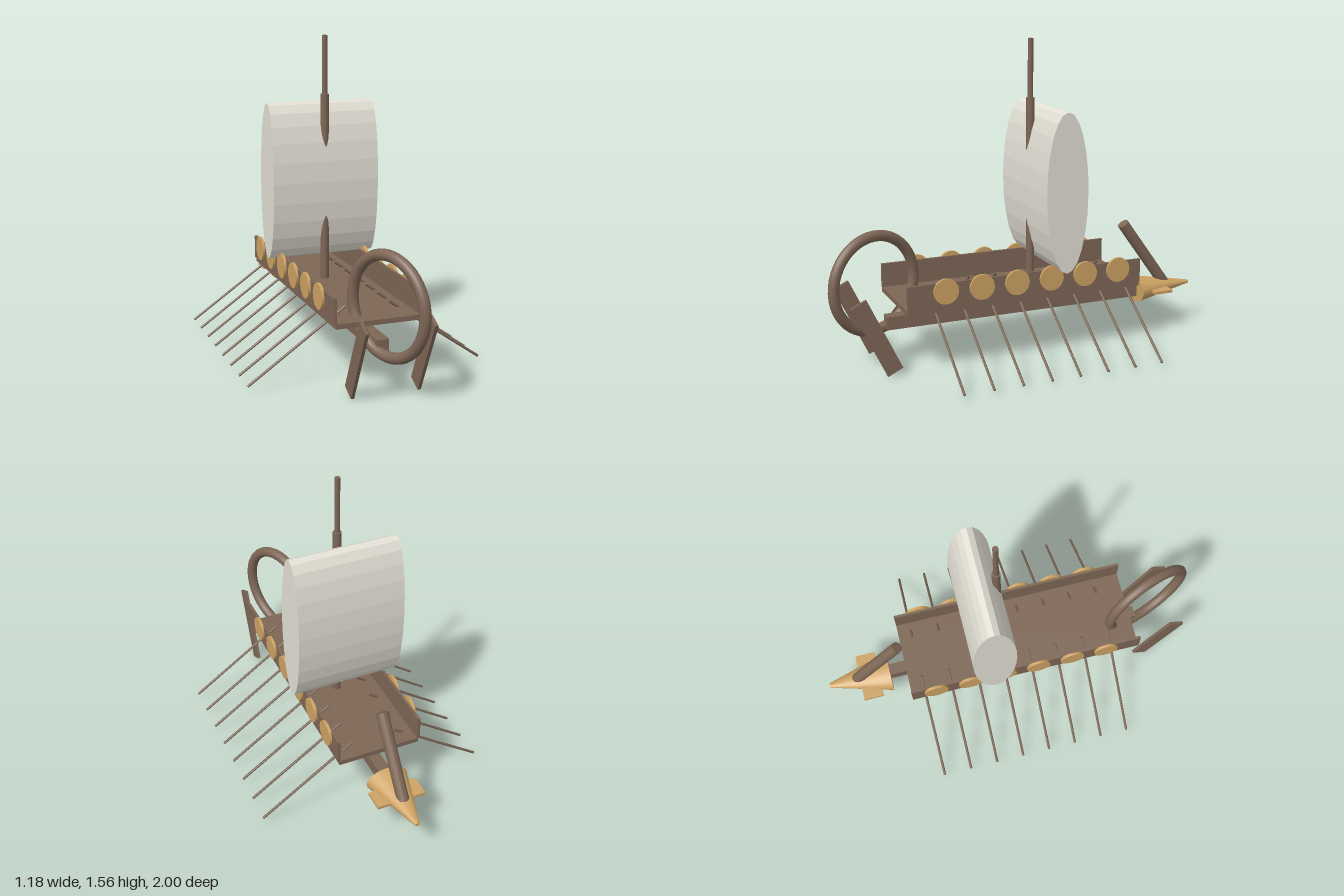
import * as THREE from 'three';

const mat = (color, flatShading = false) => {
  const m = new THREE.MeshStandardMaterial({ color });
  m.flatShading = flatShading;
  return m;
};

export function createModel() {
  const ship = new THREE.Group();
  ship.name = 'galley';
  const wood = mat(0x7d6655), gold = mat(0xcda263), cloth = mat(0xe2dfd4, true);

  const add = (name, geometry, material, x = 0, y = 0, z = 0) => {
    const mesh = new THREE.Mesh(geometry, material);
    mesh.name = name;
    mesh.position.set(x, y, z);
    ship.add(mesh);
    return mesh;
  };
  const box = (name, w, h, d, material, x, y, z) =>
    add(name, new THREE.BoxGeometry(w, h, d), material, x, y, z);

  // Round rod between two points
  const rod = (name, a, b, r, sides) => {
    const from = new THREE.Vector3(...a), to = new THREE.Vector3(...b);
    const dir = to.clone().sub(from);
    const mesh = add(name, new THREE.CylinderGeometry(r, r, dir.length(), sides), wood);
    mesh.position.copy(from).add(to).multiplyScalar(0.5);
    mesh.quaternion.setFromUnitVectors(new THREE.Vector3(0, 1, 0), dir.normalize());
    return mesh;
  };

  // Hull: keel beam and deck
  box('keel', 0.06, 0.066, 1.4, wood, 0, 0.222, 0);
  box('deck', 0.42, 0.024, 1.235, wood, 0, 0.323, 0.037);

  // Mast in two thicknesses
  rod('lowerMast', [0, 0.25, -0.066], [0, 1.28, -0.066], 0.021, 16);
  rod('upperMast', [0, 1.27, -0.066], [0, 1.57, -0.066], 0.0135, 16);

  // Billowed sail: elliptical drum lying across the ship
  const sail = new THREE.CylinderGeometry(1, 1, 0.554, 24).rotateZ(Math.PI / 2);
  sail.scale(1, 0.398, 0.11);
  add('sail', sail, cloth, 0, 0.842, -0.143);

  for (const side of [1, -1]) {
    box('sideRail', 0.014, 0.12, 1.235, wood, side * 0.212, 0.395, 0.037);

    // Round shields hung on the rail
    for (let i = 0; i < 6; i++) {
      const disc = new THREE.CylinderGeometry(0.063, 0.063, 0.014, 24).rotateZ(Math.PI / 2);
      add('shield', disc, gold, side * 0.224, 0.415, 0.465 - i * 0.183);
    }

    // Rowing oars pass down through the deck
    for (let i = 0; i < 8; i++) {
      const z = 0.51 - i * 0.1457;
      rod('oar', [side * 0.11, 0.368, z], [side * 0.584, 0.038, z], 0.0065, 8);
    }

    const rudder = box('steeringOar', 0.016, 0.397, 0.083, wood, side * 0.164, 0.206, 0.791);
    rudder.rotation.x = 0.445;
  }

  // Stern ring, turned slightly off the centre line
  const ring = add('sternRing', new THREE.TorusGeometry(0.235, 0.027, 16, 48), wood, 0, 0.425, 0.75);
  ring.rotation.y = Math.PI / 2 + 0.349;
  ring.rotation.y -= Math.PI;

  // Bow ram: flattened cone with side fins, and the slanting stem post
  const ram = new THREE.CylinderGeometry(0.013, 0.107, 0.33, 24).rotateX(-Math.PI / 2);
  ram.scale(1, 0.63, 1);
  add('ram', ram, gold, 0, 0.223, -0.835);
  box('ramFins', 0.25, 0.015, 0.105, gold, 0, 0.223, -0.783);
  rod('stemPost', [0, 0.585, -0.597], [0, 0.22, -0.862], 0.03, 16);

  return ship;
}
